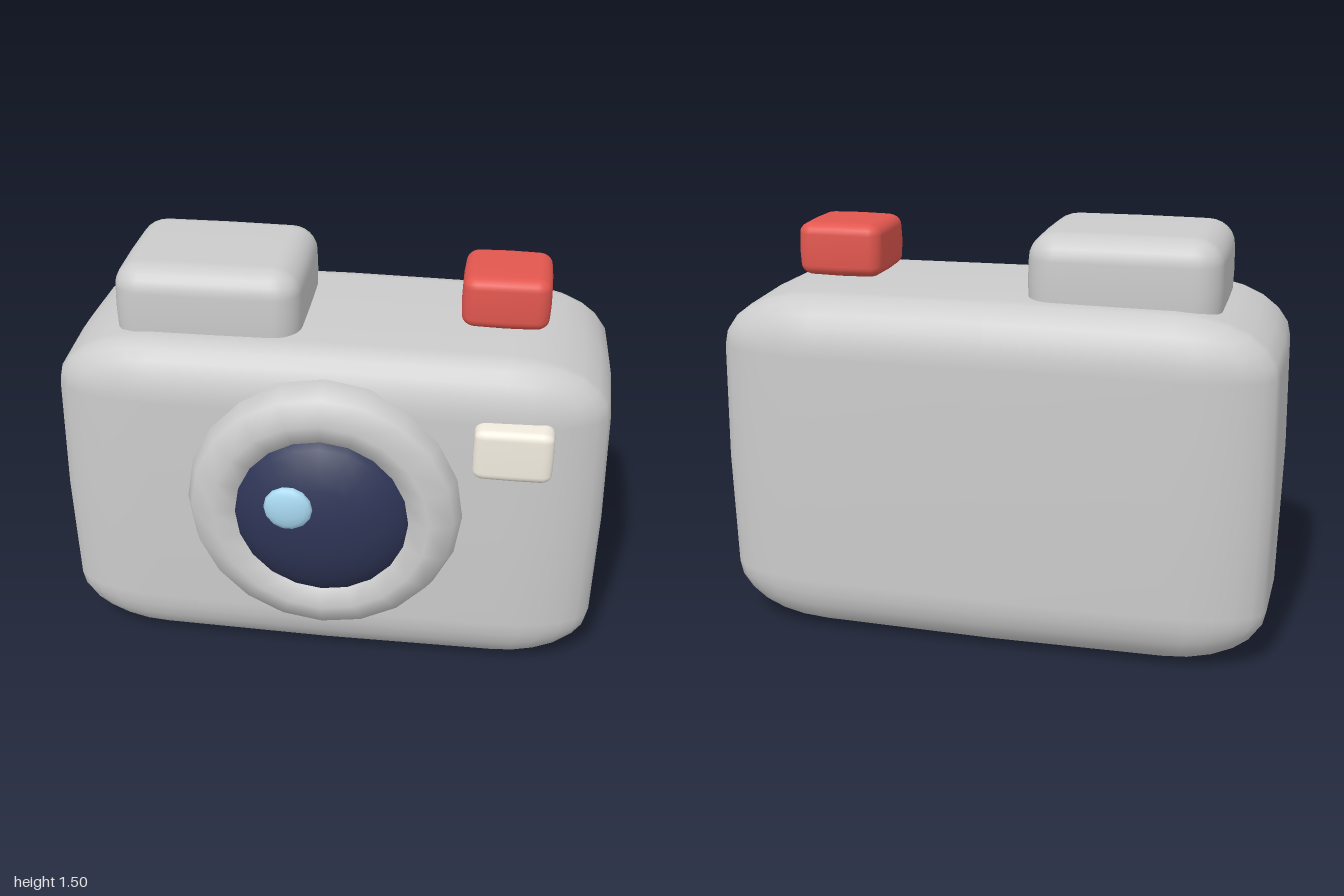
import * as THREE from 'three';
import { mergeVertices } from 'three/addons/utils/BufferGeometryUtils.js';

const material = (color) => new THREE.MeshStandardMaterial({ color });
const grey = material(0xcccccc);

// Soft pillow box: half sizes h, corner radii r per axis, faces swelling by the fraction bulge
function pillowBox(h, r, bulge) {
  const arc = 3, n = arc + 1;
  const geo = new THREE.BoxGeometry(2 * n, 2 * n, 2 * n, 2 * n, 2 * n, 2 * n);
  geo.deleteAttribute('uv');
  geo.deleteAttribute('normal');
  const pos = geo.attributes.position;
  const dir = new THREE.Vector3();
  for (let i = 0; i < pos.count; i++) {
    const grid = [pos.getX(i), pos.getY(i), pos.getZ(i)].map(Math.round);
    const flat = grid.map((g) => Math.sign(g));
    // the outer grid rows curl round the corner in equal angles
    dir.fromArray(grid.map((g) =>
      Math.sign(g) * Math.tan((Math.max(Math.abs(g) - 1, 0) / arc) * Math.PI / 4))).normalize();
    const d = dir.toArray();
    const p = d.map((c, k) => {
      const off = Math.abs(flat[(k + 1) % 3]) + Math.abs(flat[(k + 2) % 3]);
      return (flat[k] * (h[k] - r[k]) + c * r[k]) * (1 - bulge * off / 2);
    });
    pos.setXYZ(i, ...p);
  }
  const merged = mergeVertices(geo, 1e-4);
  merged.computeVertexNormals();
  return merged;
}

export function createModel() {
  const model = new THREE.Group();
  model.name = 'camera';

  const add = (name, geometry, mat, x, y, z) => {
    const mesh = new THREE.Mesh(geometry, mat);
    mesh.name = name;
    mesh.position.set(x, y, z);
    model.add(mesh);
    return mesh;
  };

  // Flattened ball with its pole facing forward
  const dome = (radius, depth, sides, rings) =>
    new THREE.SphereGeometry(1, sides, rings).rotateX(Math.PI / 2).scale(radius, radius, depth);

  // Body and the blocks on it
  add('body', pillowBox([1, 0.638, 0.436], [0.36, 0.21, 0.15], 0.016), grey, 0, 0.64, -0.1);
  add('viewfinder', pillowBox([0.337, 0.17, 0.282], [0.1, 0.09, 0.1], 0.014), grey, -0.443, 1.33, -0.1);
  add('shutterButton', pillowBox([0.158, 0.098, 0.158], [0.05, 0.04, 0.05], 0.03),
    material(0xe2574f), 0.598, 1.383, -0.1);
  add('flash', pillowBox([0.138, 0.098, 0.06], [0.04, 0.03, 0.025], 0.02),
    material(0xf2ecdf), 0.658, 0.982, 0.338);

  // Lens: ring, glass and highlight
  add('lensRing', new THREE.TorusGeometry(0.385, 0.12, 8, 20), grey, 0, 0.69, 0.312);
  add('lensGlass', dome(0.34, 0.173, 20, 12), material(0x2e3556), 0, 0.685, 0.335);
  add('lensHighlight', dome(0.086, 0.03, 14, 8), material(0xa9d9f2), -0.1, 0.785, 0.503);

  return model;
}
